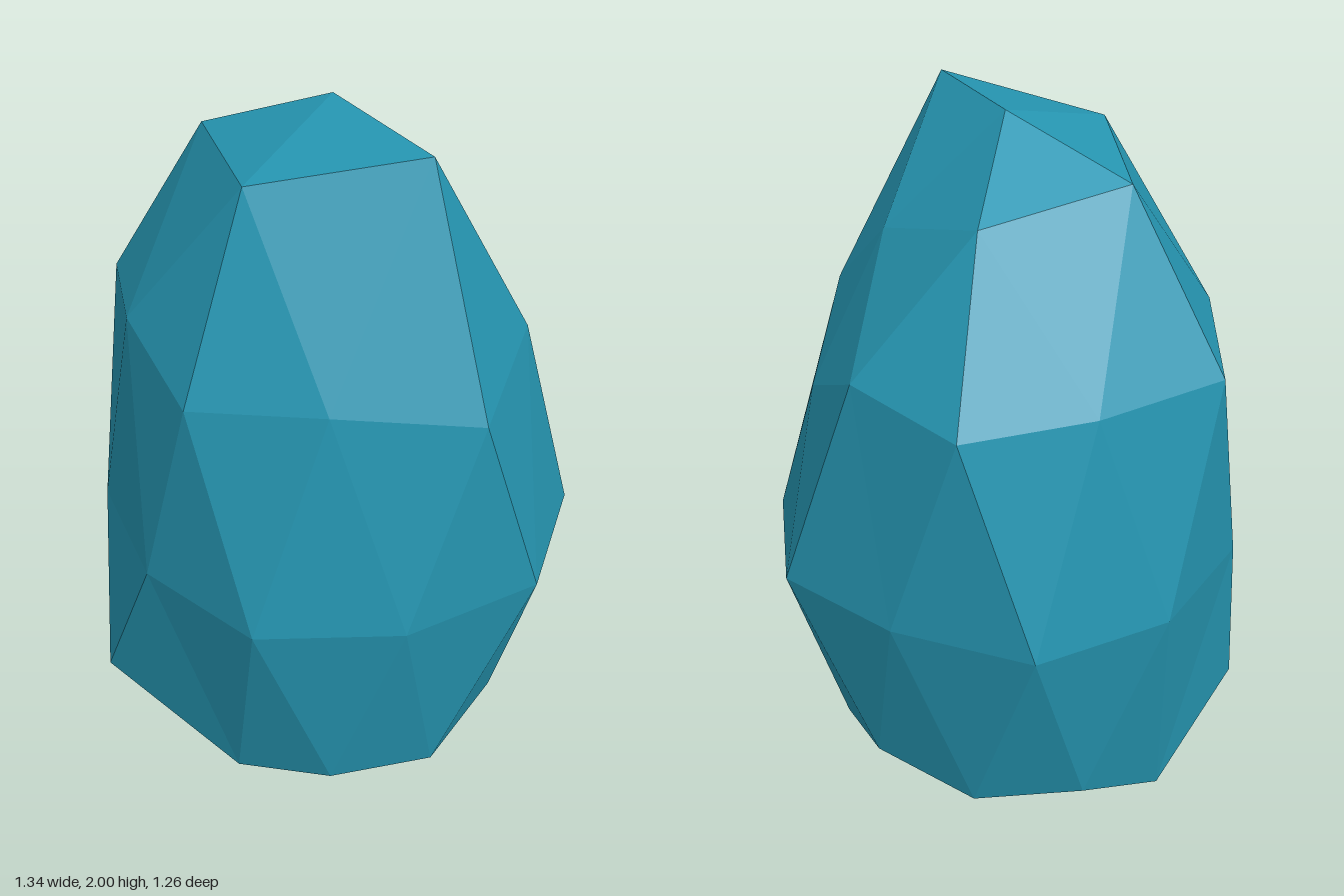
import * as THREE from 'three';

// Rings of corner points, each running counter-clockwise seen from above
const crown = [
  [0.30, 1.70, -0.10], [0, 1.82, -0.35], [-0.34, 1.87, -0.11], [-0.21, 1.895, 0.31], [0.24, 1.985, 0.33],
];
const shoulder = [
  [0.50, 1.25, -0.16], [0.31, 1.42, -0.44], [0, 1.38, -0.615], [-0.32, 1.39, -0.45], [-0.605, 1.40, -0.20],
  [-0.53, 1.45, 0.17], [-0.36, 1.37, 0.48], [0, 1.42, 0.58], [0.385, 1.36, 0.525], [0.505, 1.43, 0.16],
];
const waist = [
  [0.67, 0], [0.54, -0.38], [0.20, -0.56], [-0.20, -0.63], [-0.515, -0.38],
  [-0.655, 0], [-0.50, 0.37], [-0.20, 0.63], [0.20, 0.61], [0.555, 0.40],
].map(([x, z]) => [x, 0.76, z]);
const base = [
  [0.46, 0.115, -0.14], [0.30, 0.19, -0.38], [0, 0.13, -0.47], [-0.30, 0.14, -0.39], [-0.49, 0, -0.155],
  [-0.67, 0.22, 0.145], [-0.27, 0.07, 0.41], [0, 0.13, 0.51], [0.29, 0.105, 0.41], [0.47, 0.165, 0.16],
];
const peak = [0, 2, 0];
const underside = [0, 0.14, 0];

export function createModel() {
  const positions = [];
  const tri = (a, b, c) => positions.push(...a, ...b, ...c);

  // Body: two zigzag bands and a fan closing the underside
  for (let i = 0; i < 10; i++) {
    const j = (i + 1) % 10;
    tri(waist[i], waist[j], shoulder[i]);
    tri(shoulder[i], waist[j], shoulder[j]);
    tri(base[i], waist[j], waist[i]);
    tri(base[i], base[j], waist[j]);
    tri(underside, base[j], base[i]);
  }

  // Cap: five-sided crown stitched to the shoulder
  for (let k = 0; k < 5; k++) {
    const a = crown[k], b = crown[(k + 1) % 5];
    const s0 = shoulder[2 * k], s1 = shoulder[2 * k + 1], s2 = shoulder[(2 * k + 2) % 10];
    tri(peak, a, b);
    tri(a, s0, s1);
    tri(a, s1, b);
    tri(b, s1, s2);
  }

  const geometry = new THREE.BufferGeometry();
  geometry.setAttribute('position', new THREE.Float32BufferAttribute(positions, 3));
  geometry.computeVertexNormals();

  const teal = new THREE.MeshStandardMaterial({ color: 0x2697b3 });
  teal.name = 'teal stone';
  teal.flatShading = true;

  const rock = new THREE.Mesh(geometry, teal);
  rock.name = 'rock';
  const group = new THREE.Group();
  group.name = 'boulder';
  group.add(rock);
  return group;
}
